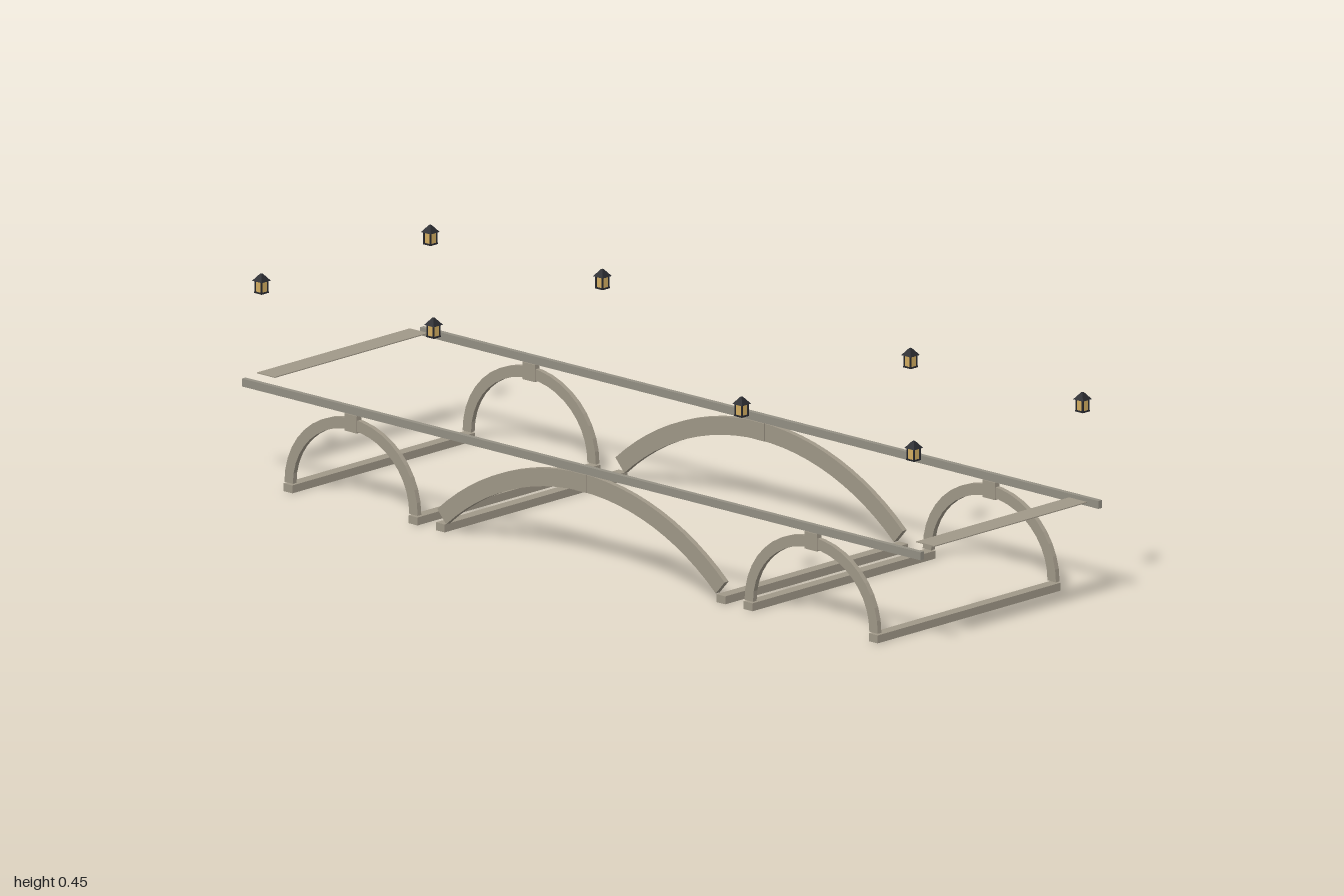
import * as THREE from 'three';

const mat = (name, color) => {
  const m = new THREE.MeshStandardMaterial({ color });
  m.name = name;
  return m;
};

export function createModel() {
  const stone = mat('stone', 0xa09888);
  const railStone = mat('rail stone', 0x949084);
  const iron = mat('dark iron', 0x26272c);
  const glass = mat('amber glass', 0xd4ae62);

  const root = new THREE.Group();
  root.name = 'bridge';
  // the bridge runs diagonally across the frame
  const bridge = new THREE.Group();
  bridge.name = 'bridgeBody';
  bridge.rotation.y = -0.2147;
  root.add(bridge);

  const add = (parent, name, geo, material, x, y, z) => {
    const m = new THREE.Mesh(geo, material);
    m.name = name;
    m.position.set(x, y, z);
    parent.add(m);
    return m;
  };
  const box = (parent, name, material, w, h, d, x, y, z) =>
    add(parent, name, new THREE.BoxGeometry(w, h, d), material, x, y, z);

  // curved band: elliptical centre line, constant thickness, extruded along z
  const archGeometry = (a, b, halfAngle, thick, depth, segments) => {
    const outer = [], inner = [];
    for (let i = 0; i <= segments; i++) {
      const t = halfAngle * (1 - (2 * i) / segments);
      const s = Math.sin(t), c = Math.cos(t);
      outer.push(new THREE.Vector2((a + thick / 2) * s, (b + thick / 2) * c));
      inner.push(new THREE.Vector2((a - thick / 2) * s, (b - thick / 2) * c));
    }
    const shape = new THREE.Shape([...outer, ...inner.reverse()]);
    const geo = new THREE.ExtrudeGeometry(shape, { depth, bevelEnabled: false });
    return geo.translate(0, 0, -depth / 2);
  };
  const smallArch = archGeometry(0.177, 0.16, Math.PI / 2, 0.024, 0.011, 20);
  const bigArch = archGeometry(0.595, 0.595, 0.726, 0.038, 0.012, 24);

  for (const side of [-1, 1]) {
    const z = side * 0.268;
    box(bridge, 'rail', railStone, 1.924, 0.017, 0.011, 0, 0.2095, z);

    // main span
    add(bridge, 'mainArch', bigArch, stone, 0, 0.182 - 0.595, z);
    box(bridge, 'mainKeystone', stone, 0.033, 0.038, 0.017, 0, 0.182, z);

    // side spans
    for (const end of [-1, 1]) {
      add(bridge, 'sideArch', smallArch, stone, end * 0.6525, 0.02, z);
      box(bridge, 'sideKeystone', stone, 0.035, 0.037, 0.014, end * 0.6525, 0.182, z);
    }
  }

  // footings and end slabs across the width
  for (const end of [-1, 1]) {
    for (const x of [0.398, 0.475, 0.83])
      box(bridge, 'footing', stone, 0.025, 0.017, 0.55, end * x, 0.0085, 0);
    box(bridge, 'endSlab', stone, 0.051, 0.002, 0.46, end * 0.935, 0.2215, 0);
  }

  // lanterns
  const lantern = (x, z) => {
    const g = new THREE.Group();
    g.name = 'lantern';
    g.position.set(x, 0.405, z);
    box(g, 'lanternBase', iron, 0.022, 0.003, 0.022, 0, 0.0015, 0);
    box(g, 'lanternGlass', glass, 0.017, 0.023, 0.017, 0, 0.0145, 0);
    for (const i of [-1, 1])
      for (const k of [-1, 1])
        box(g, 'lanternPost', iron, 0.003, 0.024, 0.003, i * 0.009, 0.015, k * 0.009);
    const roof = new THREE.CylinderGeometry(0.003, 0.0195, 0.015, 4).toNonIndexed();
    roof.computeVertexNormals();
    roof.rotateY(Math.PI / 4);
    add(g, 'lanternRoof', roof, iron, 0, 0.0335, 0);
    bridge.add(g);
  };
  for (const x of [-0.925, -0.437, 0.437, 0.925])
    for (const z of [-0.254, 0.254]) lantern(x, z);

  return root;
}
